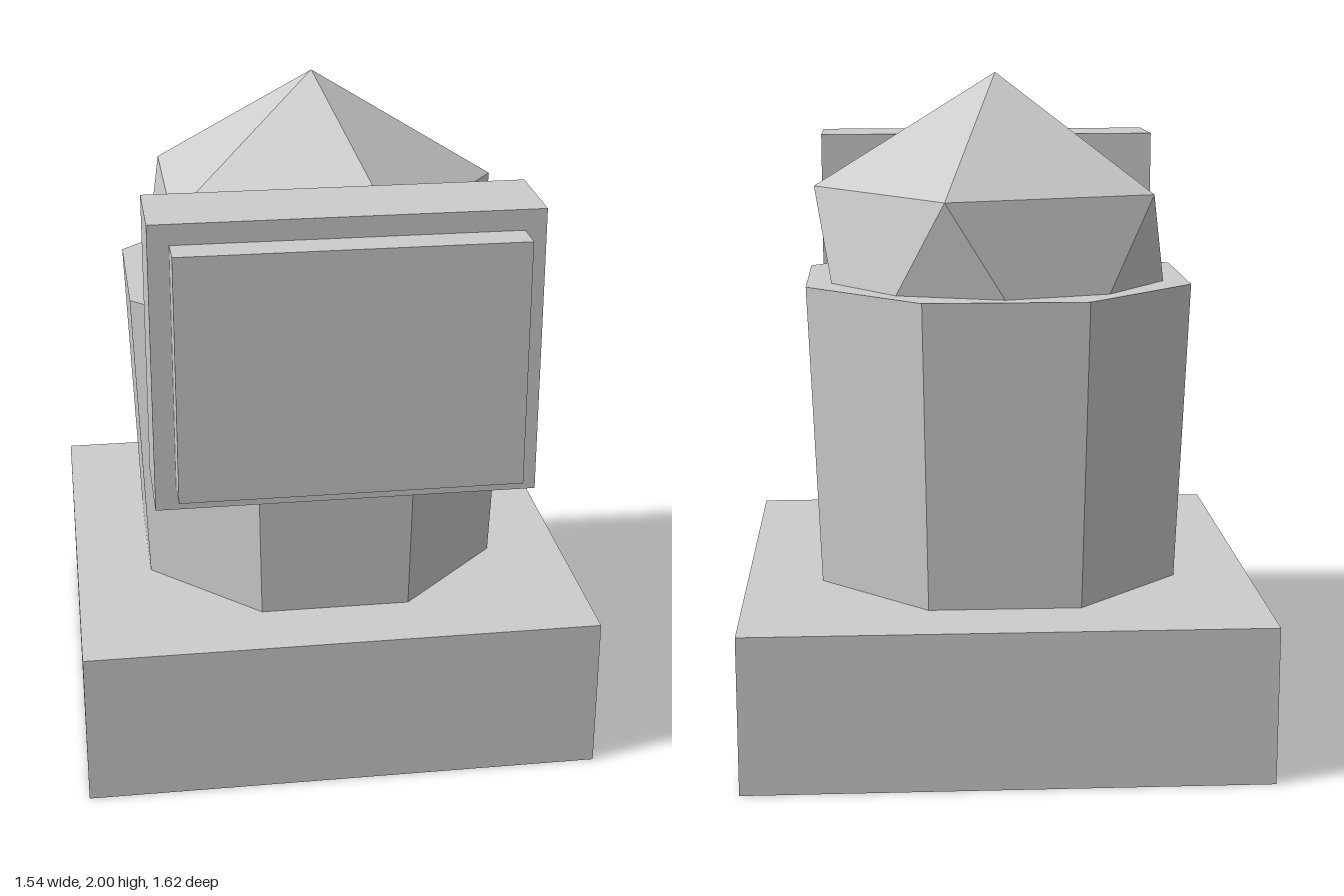
import * as THREE from 'three';

export function createModel() {
  const group = new THREE.Group();
  const grey = new THREE.MeshStandardMaterial({ color: 0xcccccc, flatShading: true });
  grey.name = 'plain grey';

  const add = (name, geometry, x, y, z) => {
    const mesh = new THREE.Mesh(geometry, grey);
    mesh.name = name;
    mesh.position.set(x, y, z);
    group.add(mesh);
    return mesh;
  };

  const axisZ = -0.05; // centre line of base, column and dome

  // Square plinth
  add('base', new THREE.BoxGeometry(1.54, 0.47, 1.52), 0, 0.235, axisZ);

  // Eight-sided column, slightly wider at the top, flats facing the axes
  const column = new THREE.CylinderGeometry(0.623, 0.585, 0.91, 8);
  column.rotateY(Math.PI / 8);
  add('column', column, 0, 0.925, axisZ);

  // Icosahedral dome, one corner pointing straight up, half sunk in the column
  const dome = new THREE.IcosahedronGeometry(0.62, 0);
  dome.rotateZ(-Math.atan(2 / (1 + Math.sqrt(5))));
  add('dome', dome, 0, 1.38, axisZ);

  // Stepped panel on the front
  add('panelHousing', new THREE.BoxGeometry(1.09, 0.84, 0.275), 0, 1.36, 0.573);
  add('panelFace', new THREE.BoxGeometry(0.97, 0.715, 0.1), 0, 1.363, 0.76);

  return group;
}
